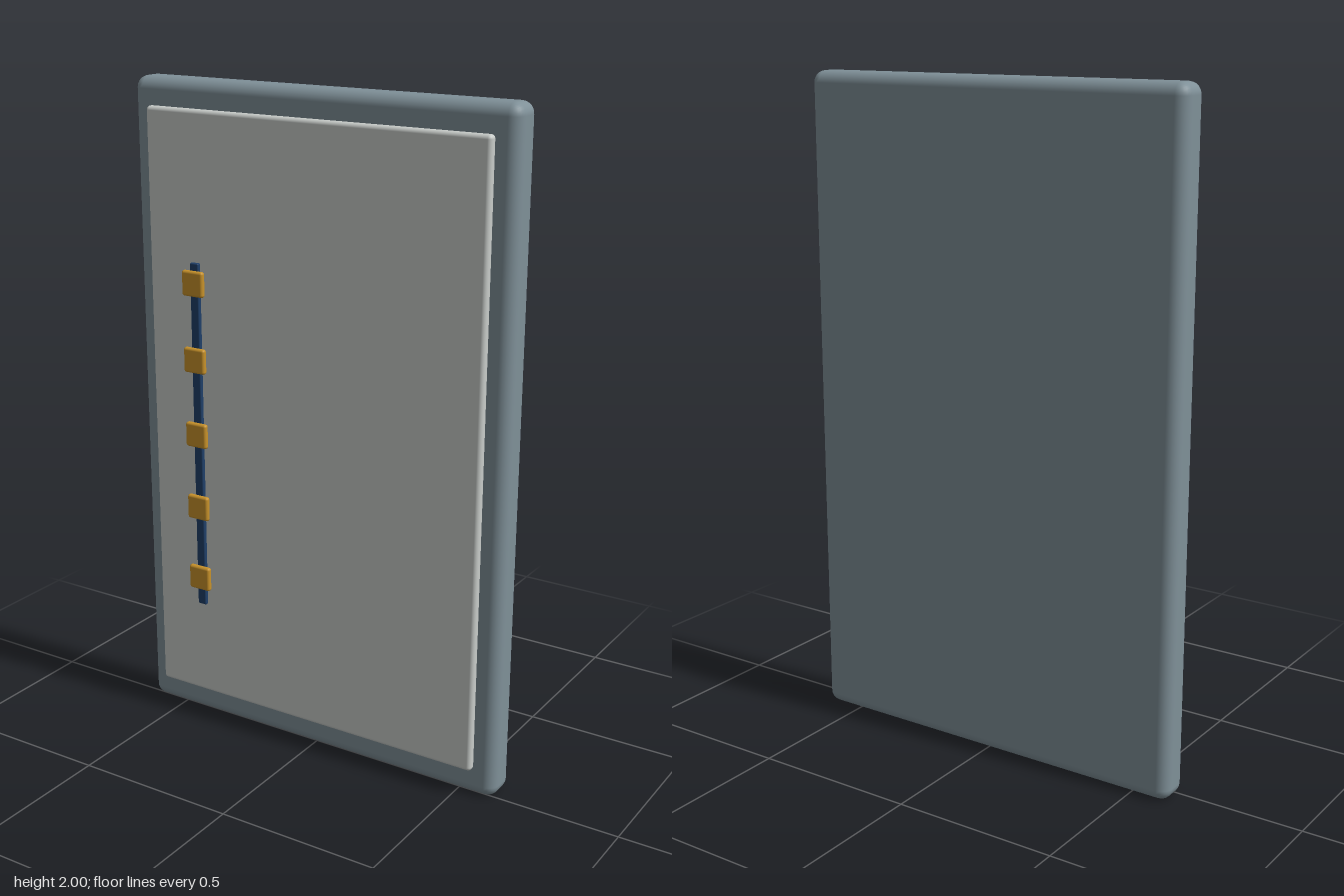
import * as THREE from 'three';
import { RoundedBoxGeometry } from 'three/addons/geometries/RoundedBoxGeometry.js';

function material(name, color) {
  const m = new THREE.MeshStandardMaterial({ color });
  m.name = name;
  return m;
}

export function createModel() {
  const group = new THREE.Group();
  group.name = 'wallPanel';

  const slate = material('slate grey', 0x7f9098);
  const pale = material('pale grey', 0xc8ccc9);
  const navy = material('navy blue', 0x1f3f68);
  const gold = material('gold', 0xc8922a);

  // Rounded slab given by its size, centre and edge radius
  function slab(name, mat, [w, h, d], [x, y, z], radius, segments = 3) {
    const mesh = new THREE.Mesh(new RoundedBoxGeometry(w, h, d, segments, radius), mat);
    mesh.name = name;
    mesh.position.set(x, y, z);
    group.add(mesh);
  }

  // Backing board and the raised face on it
  slab('backingBoard', slate, [1.244, 2, 0.107], [0, 1, -0.03], 0.035);
  slab('facePanel', pale, [1.114, 1.832, 0.03], [0, 1.004, 0.036], 0.012);

  // Vertical rail with evenly spaced square studs
  const railX = -0.384;
  slab('rail', navy, [0.03, 1.084, 0.014], [railX, 0.938, 0.06], 0.004, 2);
  for (let i = 0; i < 5; i++) {
    slab(`stud${i + 1}`, gold, [0.075, 0.077, 0.018], [railX, 0.488 + i * 0.233, 0.071], 0.008, 2);
  }

  return group;
}
